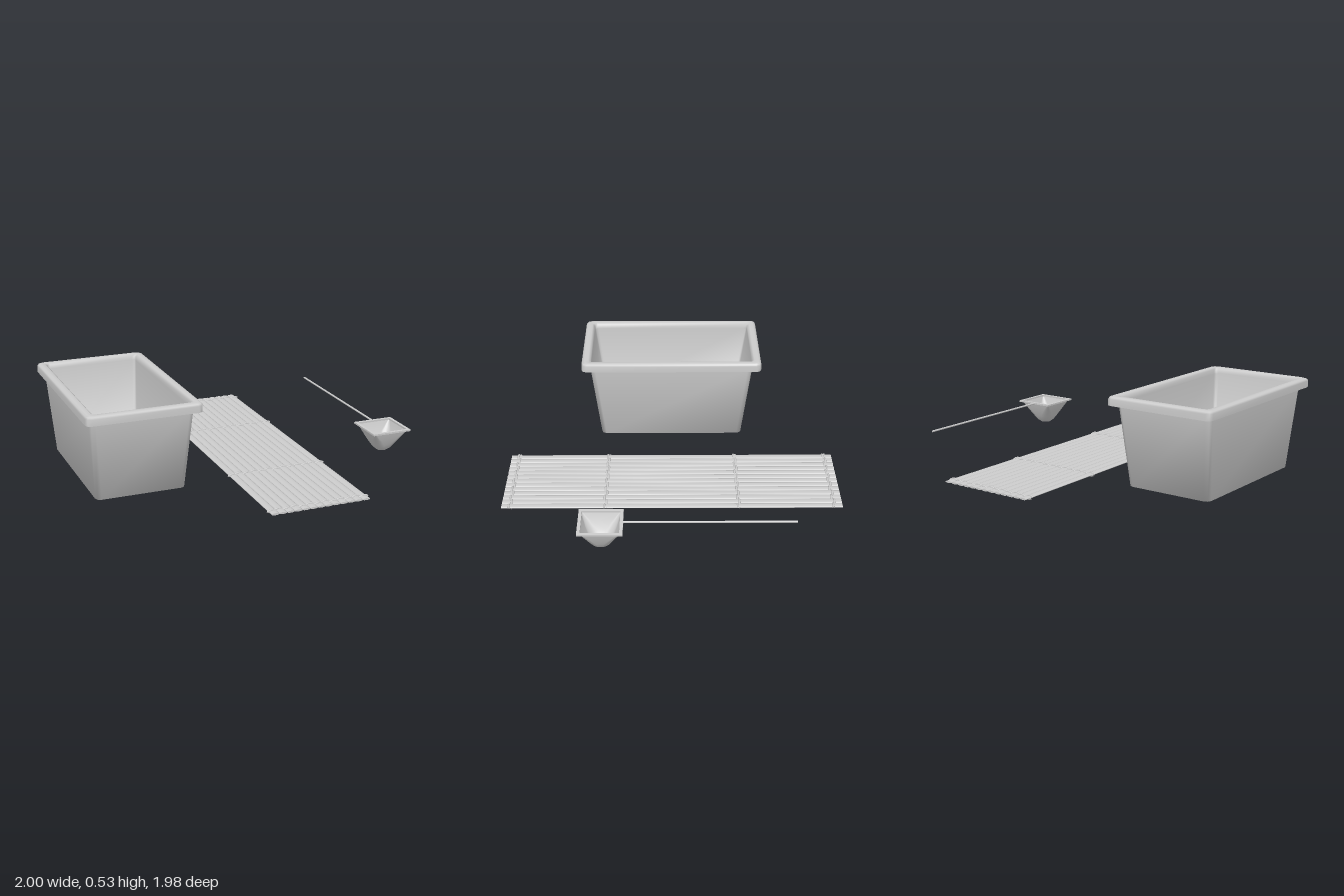
import * as THREE from 'three';

const grey = new THREE.MeshStandardMaterial({ color: 0xcccccc });
const thin = new THREE.MeshStandardMaterial({ color: 0xcccccc, side: THREE.DoubleSide });

function add(parent, name, geometry, material = grey) {
  const mesh = new THREE.Mesh(geometry, material);
  mesh.name = name;
  parent.add(mesh);
  return mesh;
}

// Skin over rounded-rectangle rings [halfX, halfZ, cornerRadius, y]
function loft(rings, seg) {
  const pos = [], index = [], n = 4 * (seg + 1);
  for (const [hx, hz, r, y] of rings) {
    for (let k = 0; k < 4; k++) {
      const sx = k === 0 || k === 3 ? 1 : -1, sz = k < 2 ? 1 : -1;
      for (let i = 0; i <= seg; i++) {
        const a = (k + i / seg) * Math.PI / 2;
        pos.push(sx * (hx - r) + r * Math.cos(a), y, sz * (hz - r) + r * Math.sin(a));
      }
    }
  }
  for (let i = 0; i < rings.length - 1; i++) {
    for (let j = 0; j < n; j++) {
      const a = i * n + j, b = i * n + (j + 1) % n;
      index.push(a, a + n, b, b, a + n, b + n);
    }
  }
  const g = new THREE.BufferGeometry();
  g.setAttribute('position', new THREE.Float32BufferAttribute(pos, 3));
  g.setIndex(index);
  g.computeVertexNormals();
  return g;
}

function createTub() {
  const tub = new THREE.Group();
  tub.name = 'tub';
  add(tub, 'tubOuterShell', loft([
    [0, 0, 0, 0.01], [0.262, 0.445, 0.03, 0.01], [0.3, 0.505, 0.03, 0.485],
  ], 2));
  add(tub, 'tubRimUnderside', loft([[0.295, 0.5, 0.03, 0.483], [0.333, 0.558, 0.03, 0.483]], 2));
  add(tub, 'tubRim', loft([
    [0.333, 0.558, 0.03, 0.483], [0.333, 0.558, 0.03, 0.52], [0.328, 0.553, 0.03, 0.53],
    [0.315, 0.54, 0.03, 0.535], [0.292, 0.517, 0.025, 0.535], [0.28, 0.503, 0.02, 0.525],
    [0.278, 0.5, 0.02, 0.5],
  ], 2));
  add(tub, 'tubInnerShell', loft([
    [0.278, 0.5, 0.02, 0.5], [0.25, 0.43, 0.02, 0.03], [0, 0, 0, 0.03],
  ], 2));
  return tub;
}

function createMat() {
  const mat = new THREE.Group();
  mat.name = 'slattedMat';
  const count = 13, pitch = 0.0458;

  // Long flattened slats
  const slat = new THREE.CylinderGeometry(1, 1, 1.98, 10).rotateX(Math.PI / 2).scale(pitch / 2, 0.006, 1);
  for (let i = 0; i < count; i++) {
    add(mat, 'slat', slat).position.set((i - (count - 1) / 2) * pitch, 0.014, 0);
  }

  // Pairs of cords weaving over and under the slats
  for (const z of [-0.942, -0.388, 0.388, 0.942]) {
    for (const s of [-1, 1]) {
      const points = [];
      for (let i = 0; i <= count * 4; i++) {
        const x = (i / 4 - count / 2) * pitch;
        points.push(new THREE.Vector3(x * 1.02, 0.014 + s * 0.0075 * Math.sin(i * Math.PI / 4), z + s * 0.006));
      }
      add(mat, 'bindingCord', new THREE.TubeGeometry(new THREE.CatmullRomCurve3(points), count * 5, 0.0065, 6));
    }
  }
  return mat;
}

function createNet() {
  const net = new THREE.Group();
  net.name = 'scoopNet';

  // Square frame
  const square = (h, P) => new P([[-h, -h], [h, -h], [h, h], [-h, h]].map(p => new THREE.Vector2(...p)));
  const frame = square(0.124, THREE.Shape);
  frame.holes.push(square(0.106, THREE.Path));
  add(net, 'netFrame', new THREE.ExtrudeGeometry(frame, { depth: 0.01, bevelEnabled: false }).rotateX(-Math.PI / 2))
    .position.y = 0.18;

  // Bag, square at the mouth and round at the bottom
  add(net, 'netBag', loft([
    [0, 0, 0, 0.04], [0.03, 0.03, 0.03, 0.043], [0.052, 0.052, 0.045, 0.06], [0.07, 0.07, 0.05, 0.088],
    [0.088, 0.088, 0.04, 0.125], [0.102, 0.102, 0.02, 0.16], [0.11, 0.11, 0.005, 0.184],
  ], 5), thin);

  // Long rod reaching backwards
  add(net, 'netHandle', new THREE.CylinderGeometry(0.006, 0.006, 0.96, 10).rotateX(Math.PI / 2))
    .position.set(-0.003, 0.185, -0.594);
  return net;
}

export function createModel() {
  const model = new THREE.Group();
  model.name = 'tubMatAndNet';
  const tub = createTub(), mat = createMat(), net = createNet();
  tub.position.x = -0.667;
  mat.position.x = 0.178;
  net.position.set(0.876, 0, 0.392);
  model.add(tub, mat, net);
  return model;
}
